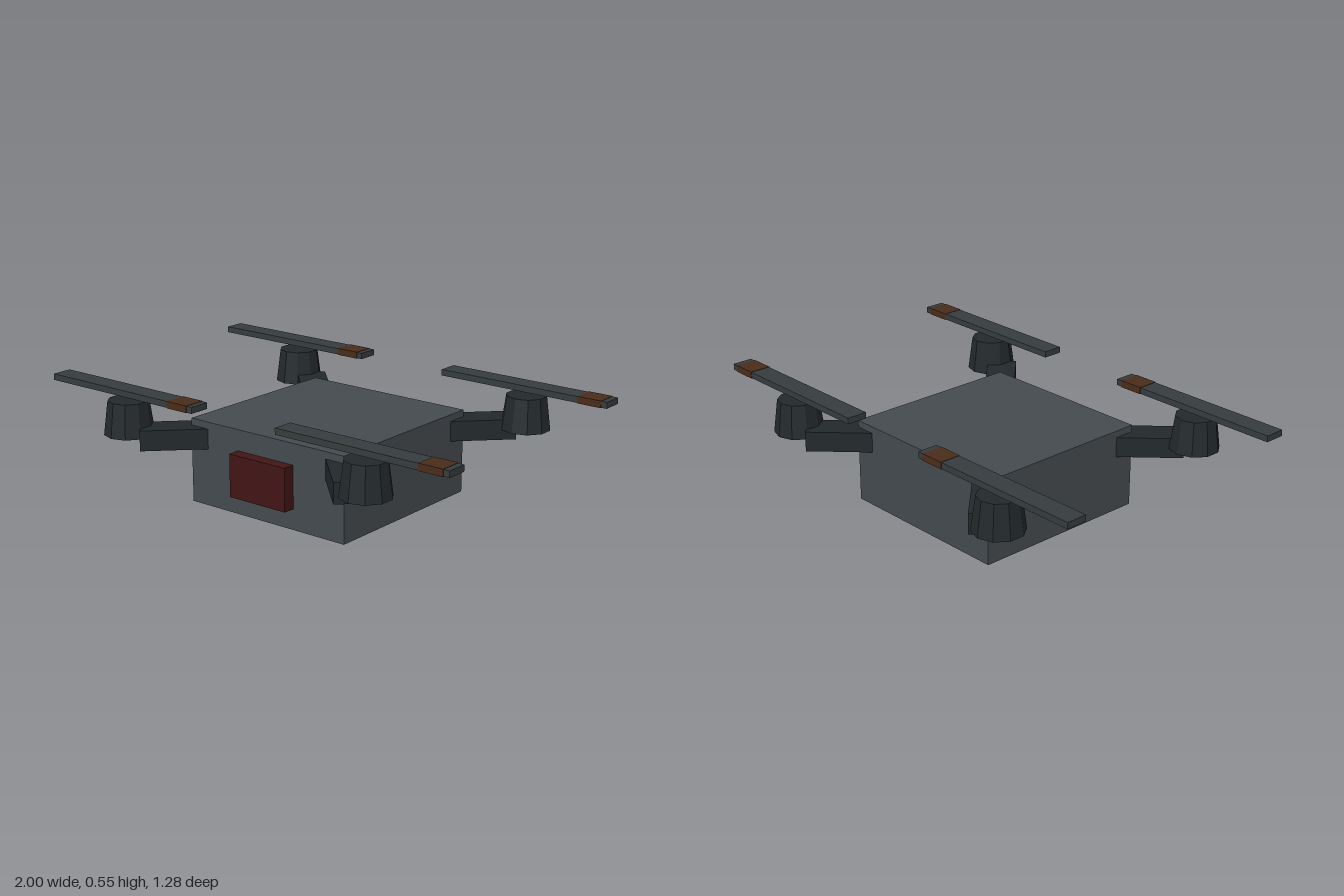
import * as THREE from 'three';

const material = (color) => new THREE.MeshStandardMaterial({ color, flatShading: true });

export function createModel() {
  const model = new THREE.Group();
  model.name = 'quadcopter';

  const shell = material(0x454b50);
  const dark = material(0x23292c);
  const blade = material(0x363c3e);
  const tipPaint = material(0x4a2c1a);
  const red = material(0x421515);
  const green = material(0x17332f);

  const add = (parent, name, geometry, mat, x, y, z) => {
    const mesh = new THREE.Mesh(geometry, mat);
    mesh.name = name;
    mesh.position.set(x, y, z);
    parent.add(mesh);
    return mesh;
  };
  const box = (w, h, d) => new THREE.BoxGeometry(w, h, d);

  // Hull, front camera and belly sensor
  add(model, 'body', box(0.787, 0.355, 0.787), shell, 0, 0.2525, 0);
  add(model, 'frontCamera', box(0.285, 0.18, 0.1), red, 0, 0.252, 0.395);
  add(model, 'bellySensor', box(0.18, 0.1, 0.18), green, 0, 0.05, 0);

  // Four rotor units, one per corner; every blade is painted on its +x end
  for (const sx of [-1, 1]) {
    for (const sz of [-1, 1]) {
      const unit = new THREE.Group();
      unit.name = (sz > 0 ? 'front' : 'back') + (sx > 0 ? 'Left' : 'Right') + 'Rotor';
      model.add(unit);

      const arm = add(unit, 'arm', box(0.29, 0.085, 0.127), dark, sx * 0.439, 0.358, sz * 0.439);
      arm.rotation.y = -sx * sz * Math.PI / 4;

      const x = sx * 0.606, z = sz * 0.535;
      add(unit, 'motor', new THREE.CylinderGeometry(0.085, 0.104, 0.142, 10), dark, x, 0.43, z);
      add(unit, 'propeller', box(0.787, 0.026, 0.088), blade, x, 0.537, z);
      add(unit, 'propellerTip', box(0.105, 0.029, 0.092), tipPaint, x + 0.315, 0.537, z);
    }
  }
  return model;
}
